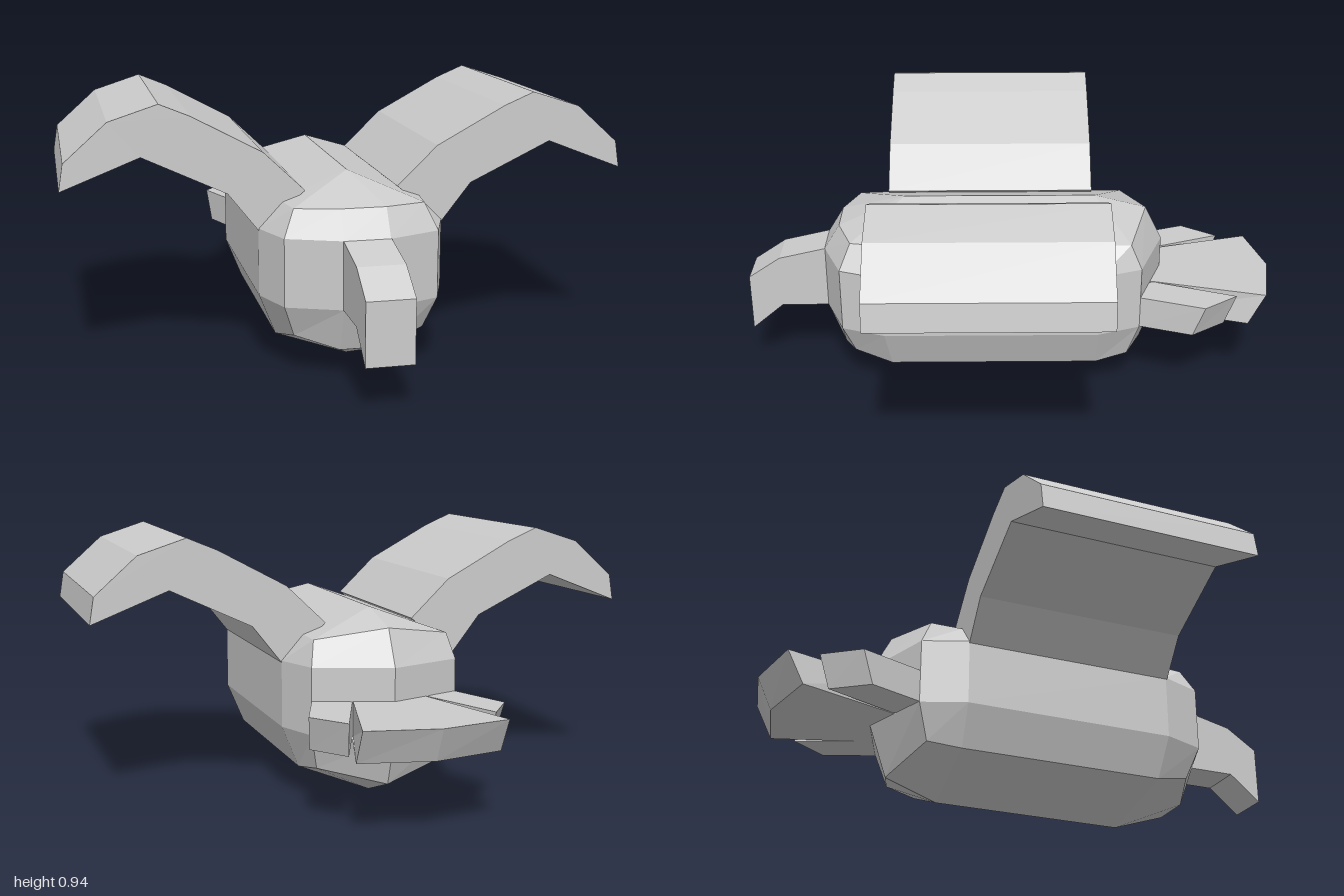
import * as THREE from 'three';

const material = new THREE.MeshStandardMaterial({ color: 0xcccccc, flatShading: true });

function addMesh(group, geometry, name) {
  const mesh = new THREE.Mesh(geometry, material);
  mesh.name = name;
  group.add(mesh);
}

// Skins a stack of rings (bottom to top, counter-clockwise from above)
function loft(rings, capped) {
  const out = [];
  const n = rings[0].length;
  const tri = (...pts) => pts.forEach((p) => out.push(...p));
  for (let i = 0; i < rings.length - 1; i++) {
    for (let j = 0; j < n; j++) {
      const k = (j + 1) % n;
      const [a, b, c, d] = [rings[i][j], rings[i][k], rings[i + 1][k], rings[i + 1][j]];
      tri(a, b, c);
      tri(a, c, d);
    }
  }
  if (capped) {
    const low = rings[0], top = rings[rings.length - 1];
    for (let j = 1; j < n - 1; j++) {
      tri(low[0], low[j + 1], low[j]);
      tri(top[0], top[j], top[j + 1]);
    }
  }
  const geometry = new THREE.BufferGeometry();
  geometry.setAttribute('position', new THREE.Float32BufferAttribute(out, 3));
  geometry.computeVertexNormals();
  return geometry;
}

const flip = ([x, y, z]) => [-x, y, z];

// Completes a half ring (front, right round to the tail point) by mirroring
const fullRing = (half) => [...half, ...half.slice(0, -1).reverse().map(flip)];

// Extrudes a 2D outline by a depth
function extrude(points, depth) {
  const shape = new THREE.Shape(points.map(([x, y]) => new THREE.Vector2(x, y)));
  return new THREE.ExtrudeGeometry(shape, { depth, bevelEnabled: false });
}

export function createModel() {
  const bird = new THREE.Group();
  bird.name = 'bird';

  // Body: vertical flanks, chamfered shoulders, a keel and a back ridge
  const plan = [[0.08, 0.705], [0.27, 0.63], [0.33, 0.47], [0.33, -0.32], [0.27, -0.48], [0, -0.58]];
  const flank = (y) => plan.map(([x, z]) => [x, y, z]);
  const ridge = (y) => [0.4, 0.4, 0.4, -0.32, -0.32, -0.32].map((z) => [0, y, z]);
  const lower = [[0.08, 0.1, 0.645], [0.23, 0.145, 0.59], [0.27, 0.11, 0.45],
    [0.27, 0.11, -0.32], [0.24, 0.13, -0.44], [0, 0.07, -0.515]];
  const upper = [[0.08, 0.597, 0.645], [0.23, 0.593, 0.59], [0.25, 0.59, 0.44],
    [0.25, 0.59, -0.32], [0.25, 0.59, -0.44], [0, 0.63, -0.515]];
  const rows = [ridge(0), lower, flank(0.26), flank(0.5), upper, ridge(0.68)];
  addMesh(bird, loft(rows.map(fullRing), false), 'body');

  // Beak
  const beak = extrude([[0.6, 0.26], [0.88, 0.26], [1, 0.16], [1, 0.38], [0.88, 0.46], [0.705, 0.5], [0.6, 0.5]], 0.166);
  beak.rotateY(-Math.PI / 2);
  beak.translate(0.083, 0, 0);
  addMesh(bird, beak, 'beak');

  // Wings: one bent outline, mirrored
  const wing = [[0.33, 0.494], [0.435, 0.628], [0.727, 0.767], [1, 0.66], [0.984, 0.756],
    [0.834, 0.89], [0.663, 0.945], [0.556, 0.9], [0.31, 0.767], [0.165, 0.628]];
  for (const side of [1, -1]) {
    const geometry = extrude(wing.map(([x, y]) => [x * side, y]), 0.795);
    geometry.translate(0, 0, -0.32);
    addMesh(bird, geometry, side > 0 ? 'leftWing' : 'rightWing');
  }

  // Tail: central fan and two side feathers, undercut at the tips
  const level = (points, y) => points.map(([x, z]) => [x, y, z]);
  const fan = (tip, corner) => fullRing([[0.1, 0, -0.4], [0.14, 0, -0.545], [0.255, 0, corner], [0, 0, tip]])
    .map(([x, , z]) => [x, z]);
  addMesh(bird, loft([level(fan(-0.945, -0.89), 0.262), level(fan(-1, -0.95), 0.382)], true), 'tailFan');

  const featherLow = level([[0.2, -0.4], [0.27, -0.48], [0.34, -0.67], [0.247, -0.8], [0.142, -0.54]], 0.262);
  const featherTop = level([[0.2, -0.4], [0.27, -0.48], [0.355, -0.71], [0.26, -0.84], [0.142, -0.54]], 0.382);
  const mirrored = (ring) => ring.map(flip).reverse();
  addMesh(bird, loft([featherLow, featherTop], true), 'leftTailFeather');
  addMesh(bird, loft([mirrored(featherLow), mirrored(featherTop)], true), 'rightTailFeather');

  return bird;
}
